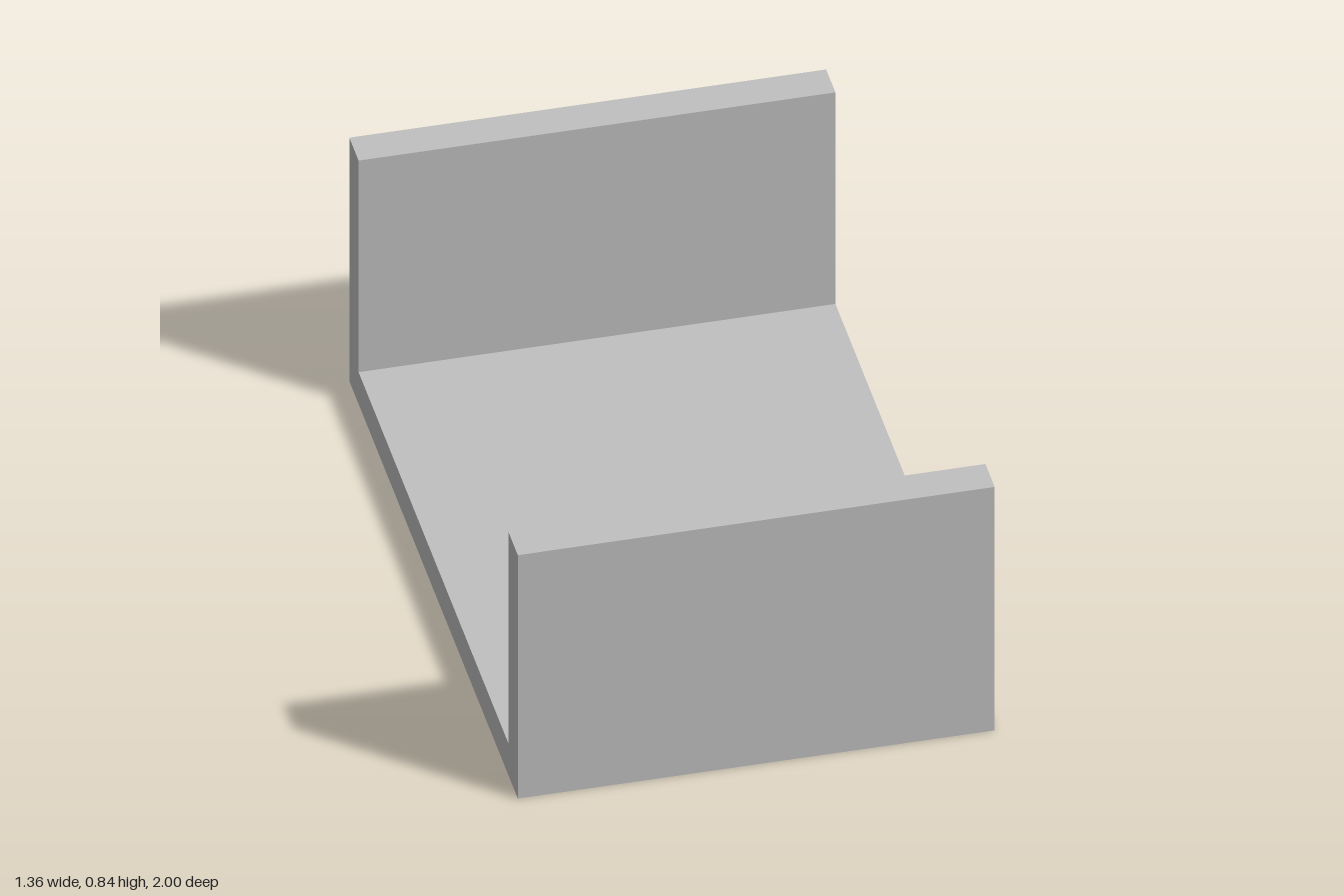
import * as THREE from 'three';

const W = 1.36, L = 2, H = 0.84, T = 0.11; // width, length, height, wall thickness
const HOLE_R = 0.058, HOLE_DEPTH = 0.08, HOLE_X = 0.39, HOLE_Z = 0.447;

export function createModel() {
  const model = new THREE.Group();
  model.name = 'channelBracket';
  const grey = new THREE.MeshStandardMaterial({ color: 0xc0c0c0 });
  grey.name = 'plain grey';

  const add = (name, geometry) => {
    const mesh = new THREE.Mesh(geometry, grey);
    mesh.name = name;
    model.add(mesh);
  };

  // U-shaped channel, closing the tops of the blind holes
  const a = L / 2, b = a - T;
  const profile = new THREE.Shape(
    [[-a, HOLE_DEPTH], [a, HOLE_DEPTH], [a, H], [b, H], [b, T], [-b, T], [-b, H], [-a, H]]
      .map(([z, y]) => new THREE.Vector2(z, y))
  );
  const channel = new THREE.ExtrudeGeometry(profile, { depth: W, bevelEnabled: false });
  channel.translate(0, 0, -W / 2).rotateY(Math.PI / 2);
  add('channel', channel);

  // Underside layer with four mounting holes
  const outline = new THREE.Shape(
    [[-W / 2, -a], [W / 2, -a], [W / 2, a], [-W / 2, a]].map(([x, z]) => new THREE.Vector2(x, z))
  );
  for (const sx of [-1, 1]) {
    for (const sz of [-1, 1]) {
      outline.holes.push(new THREE.Path().absarc(sx * HOLE_X, sz * HOLE_Z, HOLE_R, 0, Math.PI * 2, true));
    }
  }
  const base = new THREE.ExtrudeGeometry(outline, { depth: HOLE_DEPTH, bevelEnabled: false, curveSegments: 32 });
  base.rotateX(-Math.PI / 2);
  add('basePlate', base);

  return model;
}
